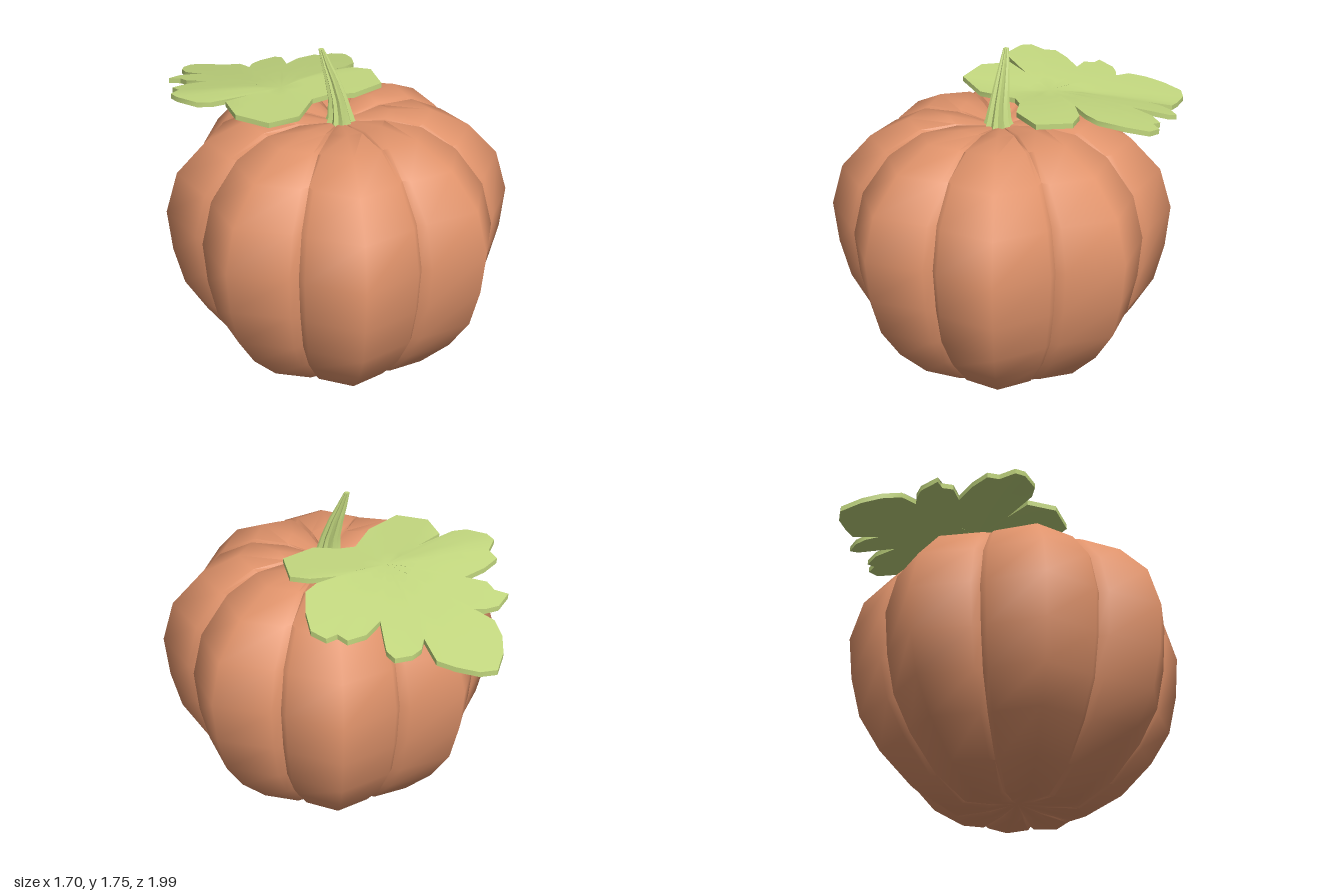
import * as THREE from 'three';
import { toCreasedNormals } from 'three/addons/utils/BufferGeometryUtils.js';

const orange = new THREE.MeshStandardMaterial({ color: 0xe0936b });
const green = new THREE.MeshStandardMaterial({ color: 0xc3d87f });
const CENTRE_Z = 0.145;

// Skin a stack of closed rings (bottom to top); edges sharper than the crease stay hard
function loft(name, rings, material, creaseDegrees) {
  const pos = [];
  const tri = (a, b, c) => {
    const area = b.clone().sub(a).cross(c.clone().sub(a)).length();
    if (area > 1e-7) for (const p of [a, b, c]) pos.push(p.x, p.y, p.z);
  };
  for (let i = 0; i < rings.length - 1; i++) {
    const lo = rings[i], hi = rings[i + 1], n = lo.length;
    for (let j = 0; j < n; j++) {
      const k = (j + 1) % n;
      tri(lo[j], hi[j], lo[k]);
      tri(hi[j], hi[k], lo[k]);
    }
  }
  const geo = new THREE.BufferGeometry();
  geo.setAttribute('position', new THREE.Float32BufferAttribute(pos, 3));
  const mesh = new THREE.Mesh(toCreasedNormals(geo, THREE.MathUtils.degToRad(creaseDegrees)), material);
  mesh.name = name;
  return mesh;
}

// Eight ribs with a narrow V groove between neighbours
function makeBody() {
  // rib crest radius, height, groove lift (grooves pinch in at top and bottom)
  const profile = [
    [0, 0.05, 0], [0.16, 0.015, 0.02], [0.35, 0, 0.02], [0.545, 0.12, 0], [0.71, 0.3, 0],
    [0.82, 0.48, 0], [0.87, 0.69, 0], [0.89, 0.916, 0], [0.825, 1.135, 0], [0.67, 1.305, 0],
    [0.47, 1.405, -0.015], [0.26, 1.42, -0.035], [0.1, 1.39, -0.02], [0, 1.37, 0],
  ];
  // angle in degrees from the groove, radius ratio, share of the groove lift
  const rib = [[0, 0.86, 1], [2.75, 0.9, 0.3], [22.5, 1, 0], [42.25, 0.9, 0.3]];
  const rings = profile.map(([r, y, lift]) => {
    const ring = [];
    for (let s = 0; s < 8; s++) {
      for (const [deg, ratio, share] of rib) {
        const a = THREE.MathUtils.degToRad(s * 45 - 5.2 + deg);
        ring.push(new THREE.Vector3(
          Math.cos(a) * r * ratio, y + lift * share, CENTRE_Z + Math.sin(a) * r * ratio));
      }
    }
    return ring;
  });
  return loft('pumpkinBody', rings, orange, 60);
}

// Fluted, tapering stem that leans to one side
function makeStem() {
  // centre x, y, centre z, radius
  const sections = [
    [0.003, 1.36, 0.155, 0.085], [0.002, 1.41, 0.155, 0.066], [-0.008, 1.5, 0.145, 0.05],
    [-0.03, 1.6, 0.125, 0.038], [-0.054, 1.68, 0.107, 0.026], [-0.074, 1.755, 0.092, 0.014],
    [-0.074, 1.755, 0.092, 0],
  ];
  const rings = sections.map(([x, y, z, r]) => Array.from({ length: 20 }, (_, j) => {
    const a = (j / 20) * Math.PI * 2;
    const rr = r * (j % 2 ? 0.76 : 1);
    return new THREE.Vector3(x + Math.cos(a) * rr, y, z + Math.sin(a) * rr);
  }));
  return loft('stem', rings, green, 30);
}

// Lobed leaf: outline shrunk toward its base point, draped by a height rule
function makeLeaf() {
  const outline = [
    -.38, -1, -.30, -.98, -.21, -.91, -.14, -.85, -.14, -.71, -.10, -.77, -.04, -.80, .05, -.80,
    .07, -.75, .05, -.67, .02, -.56, .12, -.63, .22, -.64, .25, -.59, .31, -.60, .36, -.53,
    .34, -.41, .29, -.28, .22, -.24, .10, -.22, .24, -.20, .32, -.14, .29, .04, .11, .09,
    -.01, .04, -.10, .04, -.24, .19, -.42, .24, -.54, .11, -.53, -.05, -.39, -.10, -.60, -.06,
    -.67, -.08, -.74, -.17, -.75, -.23, -.69, -.29, -.70, -.36, -.61, -.40, -.49, -.42, -.58, -.49,
    -.59, -.56, -.64, -.60, -.56, -.655, -.49, -.65, -.44, -.63, -.50, -.73, -.49, -.83, -.45, -.92,
  ];
  const cx = -0.18, cz = -0.17;
  const height = (x, z) => {
    const dx = x - cx;
    const side = dx < 0 ? 0.15 * -dx - 0.08 * dx * dx : 0.12 * dx - 0.16 * dx * dx;
    const back = Math.max(0, -z - 0.2);
    return 1.46 + side - 0.2 * back - 0.05 * back * back;
  };
  const ring = (t, drop) => Array.from({ length: outline.length / 2 }, (_, i) => {
    const x = cx + (outline[2 * i] - cx) * t;
    const z = cz + (outline[2 * i + 1] - cz) * t;
    return new THREE.Vector3(x, height(x, z) - drop, z);
  });
  const steps = [0, 0.25, 0.5, 0.75, 1];
  const under = steps.map((t) => ring(t, 0.027));
  const upper = steps.map((t) => ring(t, 0)).reverse();
  return loft('leaf', [...under, ...upper], green, 40);
}

export function createModel() {
  const model = new THREE.Group();
  model.name = 'pumpkin';
  model.add(makeBody(), makeStem(), makeLeaf());
  return model;
}
